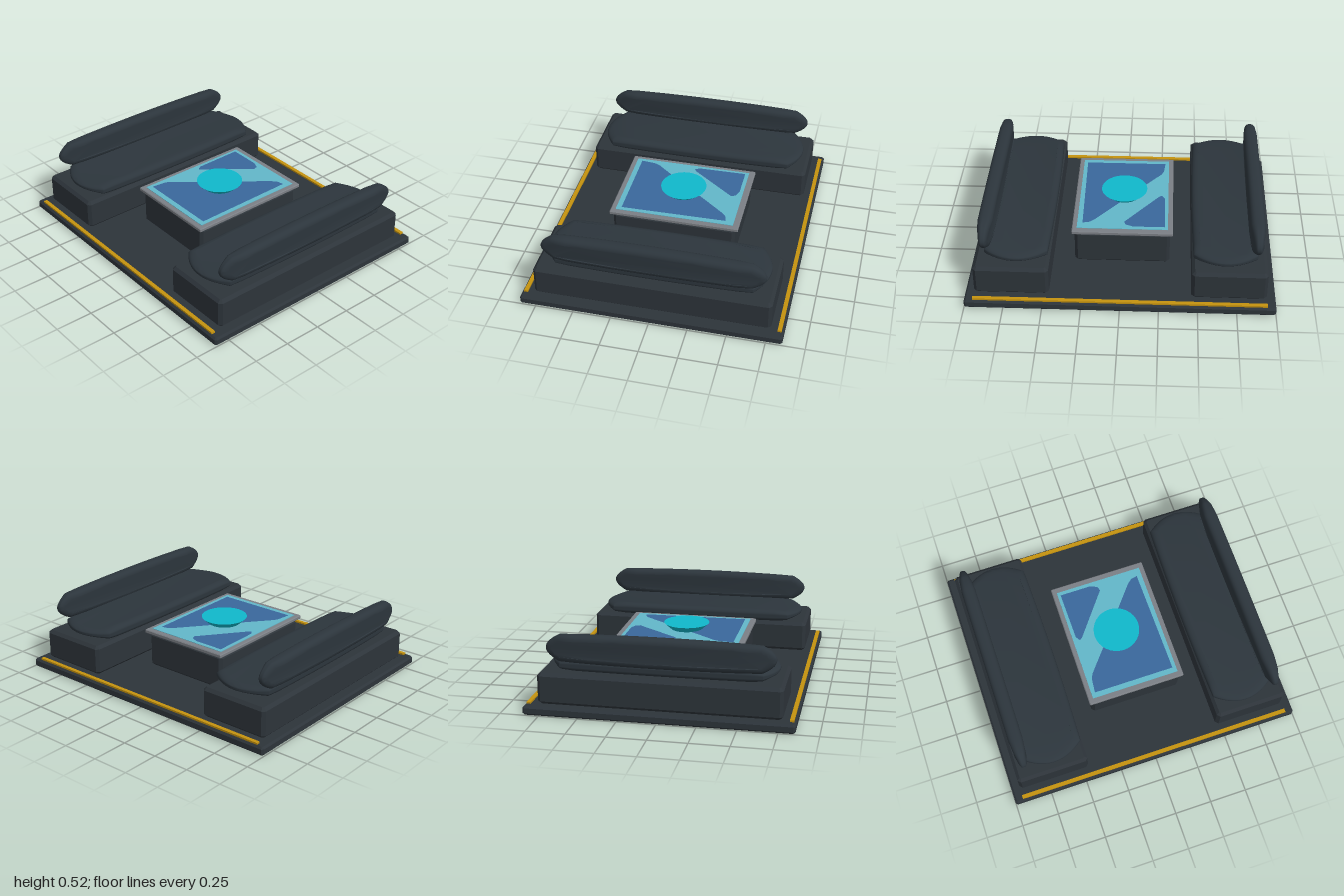
import * as THREE from 'three';
import { toCreasedNormals } from 'three/addons/utils/BufferGeometryUtils.js';

const mat = (name, color, extra = {}) => {
  const m = new THREE.MeshStandardMaterial({ color, ...extra });
  m.name = name;
  return m;
};

const X = new THREE.Vector3(1, 0, 0);
const Y = new THREE.Vector3(0, 1, 0);
const Z = new THREE.Vector3(0, 0, 1);

// Box with every edge chamfered by c
function chamferBox(w, h, d, c) {
  const a = w / 2, b = d / 2;
  const shape = new THREE.Shape([
    [a - c, -b], [a, c - b], [a, b - c], [a - c, b],
    [c - a, b], [-a, b - c], [-a, c - b], [c - a, -b],
  ].map(([x, y]) => new THREE.Vector2(x, y)));
  const geo = new THREE.ExtrudeGeometry(shape, {
    depth: h - 2 * c, bevelEnabled: true, bevelSegments: 1,
    bevelSize: c, bevelThickness: c, bevelOffset: -c,
  });
  return geo.rotateX(-Math.PI / 2).center();
}

// Padded slab: bowed outline (length along z), soft edges, thinner at both ends
function pillow(length, width, thick, soft, widthAxis, thickAxis) {
  const e = length / 2 - 0.085, tip = length / 2 + 0.085, w = width / 2 - 0.012;
  const shape = new THREE.Shape();
  shape.moveTo(-e, -w);
  shape.quadraticCurveTo(0, -w - 0.024, e, -w);
  shape.quadraticCurveTo(tip, 0, e, w);
  shape.quadraticCurveTo(0, w + 0.024, -e, w);
  shape.quadraticCurveTo(-tip, 0, -e, -w);
  const bevel = thick * 0.38;
  const geo = new THREE.ExtrudeGeometry(shape, {
    depth: thick - 2 * bevel, bevelEnabled: true, bevelSegments: 4, curveSegments: 14,
    bevelSize: soft, bevelThickness: bevel, bevelOffset: -soft,
  });
  geo.center();
  const p = geo.attributes.position;
  for (let i = 0; i < p.count; i++) {
    const t = THREE.MathUtils.smoothstep(Math.abs(p.getX(i)), e - 0.08, length / 2);
    p.setZ(i, p.getZ(i) * (1 - 0.45 * t));
  }
  geo.applyMatrix4(new THREE.Matrix4().makeBasis(Z, widthAxis, thickAxis));
  return toCreasedNormals(geo, 0.8);
}

// Thin flat face lying on a horizontal surface, outline given as x, z pairs
function flatPatch(points) {
  const shape = new THREE.Shape(points.map(([x, z]) => new THREE.Vector2(x, -z)));
  return new THREE.ShapeGeometry(shape).rotateX(-Math.PI / 2);
}

export function createModel() {
  const model = new THREE.Group();
  model.name = 'loungeSet';
  const slate = mat('slate', 0x2d343a);
  const padding = mat('padding', 0x2c353c);
  const gold = mat('gold', 0xc4920f);
  const grey = mat('frameGrey', 0x7b7f85);
  const aqua = mat('screenAqua', 0x62b6c9, { side: THREE.DoubleSide });
  const blue = mat('screenBlue', 0x39679c, { side: THREE.DoubleSide });
  const teal = mat('teal', 0x10b8cb);

  const add = (name, geo, material, x, y, z, parent = model) => {
    const mesh = new THREE.Mesh(geo, material);
    mesh.name = name;
    mesh.position.set(x, y, z);
    parent.add(mesh);
    return mesh;
  };

  // Floor platform with a gold strip along front and back
  add('platform', chamferBox(2, 0.058, 1.71, 0.012), slate, 0, 0.029, 0);
  for (const s of [1, -1]) {
    add(s > 0 ? 'frontStrip' : 'backStrip',
      new THREE.BoxGeometry(1.89, 0.02, 0.026), gold, 0, 0.06, s * 0.828);
  }

  // Two facing benches
  const benchGeo = chamferBox(0.485, 0.205, 1.545, 0.02);
  const cushionGeo = pillow(1.45, 0.435, 0.078, 0.045, X, Y);
  const backGeo = pillow(1.445, 0.195, 0.095, 0.035, Y, X.clone().negate());
  for (const s of [1, -1]) {
    const bench = new THREE.Group();
    bench.name = s > 0 ? 'leftBench' : 'rightBench';
    model.add(bench);
    add('benchBase', benchGeo, slate, s * 0.7, 0.16, 0, bench);
    add('seatCushion', cushionGeo, padding, s * 0.673, 0.301, 0, bench);
    add('backrest', backGeo, padding, s * 0.873, 0.418, 0, bench);
  }

  // Central table
  const table = new THREE.Group();
  table.name = 'table';
  model.add(table);
  add('tableBase', chamferBox(0.63, 0.24, 0.83, 0.02), slate, 0, 0.175, 0, table);
  add('tableTop', chamferBox(0.664, 0.026, 0.874, 0.005), grey, 0, 0.308, -0.002, table);

  // Display panel with two blue areas
  add('screen', new THREE.BoxGeometry(0.6, 0.006, 0.8), aqua, 0, 0.321, 0, table);
  add('screenAreaBack', flatPatch([
    [-0.28, -0.375], [-0.07, -0.375], [-0.02, -0.355], [-0.01, -0.325],
    [-0.235, -0.035], [-0.255, -0.02], [-0.275, -0.05],
  ]), blue, 0, 0.326, 0, table);
  add('screenAreaFront', flatPatch([
    [0.265, -0.345], [0.22, -0.335], [0.19, -0.31], [0.06, -0.15], [-0.13, 0.09],
    [-0.25, 0.235], [-0.265, 0.27], [-0.275, 0.365], [0.275, 0.365],
  ]), blue, 0, 0.326, 0, table);

  // Flared disc standing on the display
  add('centreDisc', new THREE.CylinderGeometry(0.155, 0.108, 0.043, 32), teal, 0, 0.345, 0, table);

  return model;
}
